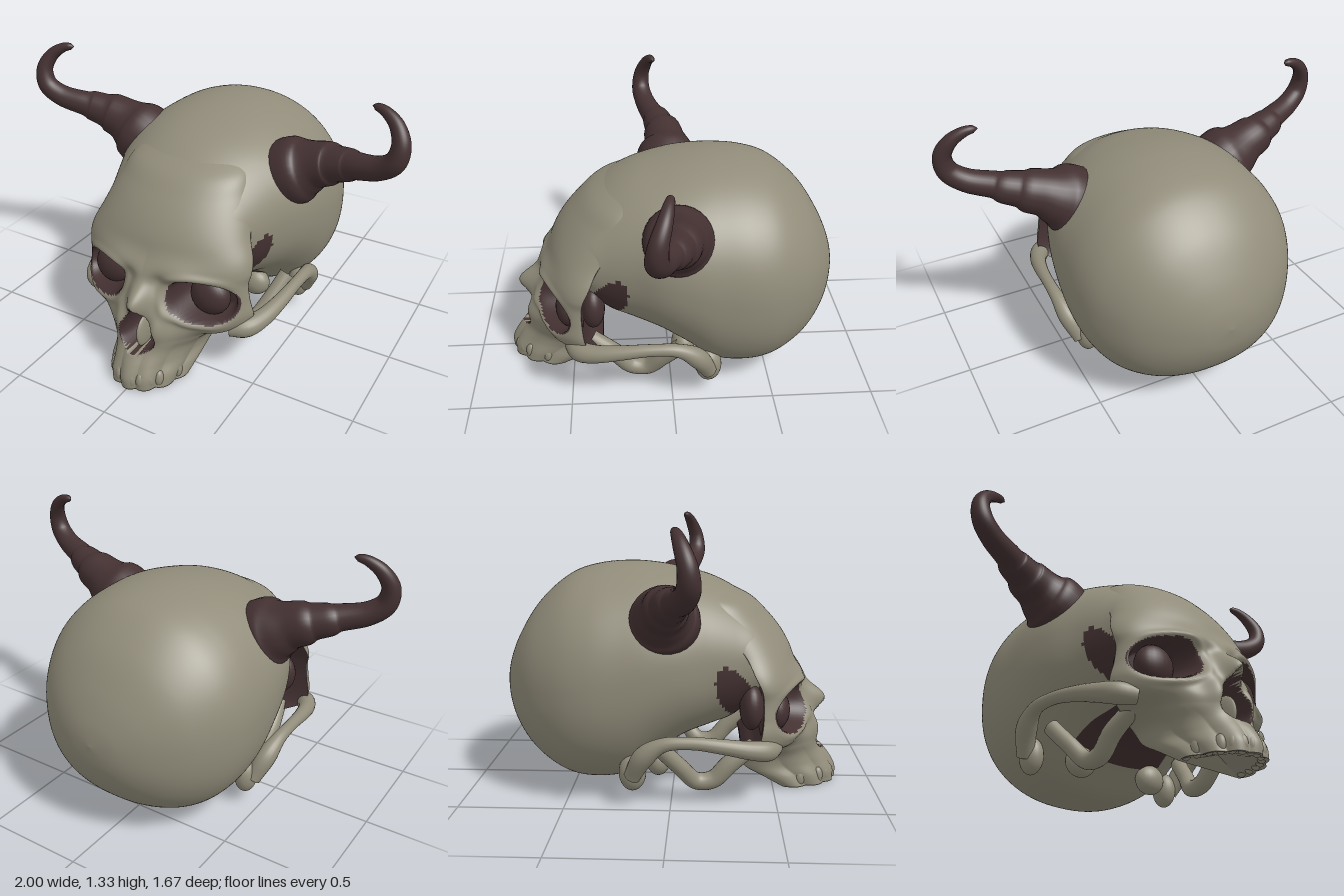
import * as THREE from 'three';
import { mergeVertices } from 'three/addons/utils/BufferGeometryUtils.js';

const bone = new THREE.MeshStandardMaterial({ color: 0x918c7a });
bone.name = 'bone';
const dark = new THREE.MeshStandardMaterial({ color: 0x443132 });
dark.name = 'dark horn';

const gauss = (d, s) => Math.exp(-(d * d) / (s * s));
// 1 below lo, falling smoothly to 0 above hi
const fade = (v, lo, hi) => 1 - THREE.MathUtils.smoothstep(v, lo, hi);

// Catmull-Rom through rows of numbers, t from 0 to 1
function sample(rows, t) {
  const last = rows.length - 1;
  const k = Math.min(Math.floor(t * last), last - 1);
  const f = t * last - k;
  const at = n => rows[THREE.MathUtils.clamp(n, 0, last)];
  return rows[0].map((_, c) => {
    const [a, b, d, e] = [at(k - 1)[c], at(k)[c], at(k + 1)[c], at(k + 2)[c]];
    const m = (d - a) / 2, n = (e - b) / 2;
    return b + m * f + (3 * (d - b) - 2 * m - n) * f * f + (2 * (b - d) + m + n) * f * f * f;
  });
}

// Skin of rings; quads for which isDark holds use the second material
function loft(name, rows, cols, point, isDark) {
  const pos = [], light = [], shade = [];
  for (let i = 0; i <= rows; i++) for (let j = 0; j < cols; j++) pos.push(...point(i, j));
  for (let i = 0; i < rows; i++) {
    for (let j = 0; j < cols; j++) {
      const a = i * cols + j, b = i * cols + (j + 1) % cols;
      const list = isDark(i + 0.5, j + 0.5) ? shade : light;
      list.push(a, b, a + cols, b, b + cols, a + cols);
    }
  }
  const g = new THREE.BufferGeometry();
  g.setAttribute('position', new THREE.Float32BufferAttribute(pos, 3));
  g.setIndex(light.concat(shade));
  g.addGroup(0, light.length, 0);
  g.addGroup(light.length, shade.length, 1);
  g.computeVertexNormals();
  const mesh = new THREE.Mesh(g, [bone, dark]);
  mesh.name = name;
  return mesh;
}

// Tube with a radius per path point: rows of x, y, z, radius
function taperTube(name, rows, side, material, segs = 48, sides = 20) {
  const curve = new THREE.CatmullRomCurve3(rows.map(r => new THREE.Vector3(r[0] * side, r[1], r[2])));
  let g = new THREE.TubeGeometry(curve, segs, 1, sides);
  const p = g.attributes.position, v = new THREE.Vector3();
  for (let i = 0; i <= segs; i++) {
    const c = curve.getPointAt(i / segs);
    const r = Math.max(sample(rows, curve.getUtoTmapping(i / segs))[3], 0.001);
    for (let j = 0; j <= sides; j++) {
      const n = i * (sides + 1) + j;
      v.fromBufferAttribute(p, n).sub(c).multiplyScalar(r).add(c);
      p.setXYZ(n, v.x, v.y, v.z);
    }
  }
  g.deleteAttribute('uv');
  g.deleteAttribute('normal');
  g = mergeVertices(g, 1e-5);
  g.computeVertexNormals();
  const mesh = new THREE.Mesh(g, material);
  mesh.name = name;
  return mesh;
}

function blob(name, at, size, material) {
  const mesh = new THREE.Mesh(new THREE.SphereGeometry(1, 24, 16), material);
  mesh.name = name;
  mesh.position.set(...at);
  mesh.scale.set(...size);
  return mesh;
}

// Braincase sections: z, top, bottom, half width
const CRANIUM = [
  [-0.84, 0.53, 0.53, 0], [-0.82, 0.64, 0.40, 0.14], [-0.76, 0.78, 0.27, 0.285], [-0.66, 0.93, 0.15, 0.415],
  [-0.52, 1.05, 0.06, 0.51], [-0.38, 1.10, 0.035, 0.55], [-0.22, 1.115, 0.06, 0.555], [-0.08, 1.105, 0.17, 0.545],
  [0.05, 1.08, 0.26, 0.515], [0.18, 1.045, 0.31, 0.455], [0.30, 0.985, 0.36, 0.405], [0.40, 0.905, 0.46, 0.36],
  [0.46, 0.82, 0.57, 0.29], [0.49, 0.76, 0.63, 0.18], [0.5, 0.7, 0.7, 0],
];

function cranium() {
  const rows = 130, cols = 150;
  const pow = (v, n) => Math.sign(v) * Math.abs(v) ** (2 / n);
  const point = (i, j) => {
    const [z, top, low, w] = sample(CRANIUM, i / rows);
    const a = j / cols * Math.PI * 2;
    const n = Math.sin(a) > 0 ? 2.1 : 2.3; // rounder above than below
    return [Math.max(w, 0) * pow(Math.cos(a), n), (top + low) / 2 + (top - low) / 2 * pow(Math.sin(a), n), z];
  };
  return loft('cranium', rows, cols, point, (i, j) => {
    const [, y, z] = point(i, j);
    const under = z > -0.06 && Math.sin(j / cols * Math.PI * 2) < -0.88;
    const temple = ((z - 0.31 - (0.5 - y) * 0.35) / 0.085) ** 2 + ((y - 0.51) / 0.155) ** 2 < 1;
    return under || temple;
  });
}

// Face sections: y, half width, back z, front z, roundness
const FACE = [
  [0.005, 0.185, 0.55, 0.815, 1], [0.06, 0.2, 0.46, 0.815, 1], [0.12, 0.215, 0.36, 0.79, 1],
  [0.18, 0.25, 0.34, 0.75, 1], [0.23, 0.33, 0.36, 0.72, 1.1], [0.28, 0.43, 0.40, 0.695, 1.2],
  [0.34, 0.455, 0.42, 0.665, 1.2], [0.42, 0.44, 0.43, 0.635, 1.1], [0.50, 0.43, 0.43, 0.615, 1],
  [0.56, 0.44, 0.42, 0.625, 1.1], [0.62, 0.43, 0.39, 0.605, 1], [0.70, 0.395, 0.35, 0.58, 1],
  [0.78, 0.37, 0.29, 0.535, 1], [0.86, 0.34, 0.24, 0.47, 1], [0.94, 0.30, 0.2, 0.385, 1], [1.0, 0.23, 0.1, 0.265, 1],
];
// Distance measures that are 1 on the rim of the opening
const socket = (x, y) => {
  const u = (Math.abs(x) - 0.268) / 0.15, v = (y - 0.44 + (Math.abs(x) - 0.268) * 0.14) / 0.103;
  return (Math.abs(u) ** 2.4 + Math.abs(v) ** 2.4) ** (1 / 2.4);
};
const nostril = (x, y) => {
  const s = (y - 0.165) / 0.255;
  return s <= 0 || s >= 1 ? 9 : Math.abs(x) / (0.098 * Math.sin(Math.PI * s ** 0.55) + 1e-4);
};

function face() {
  const rows = 140, front = 190, back = 16;
  const point = (i, j) => {
    if (i === 0) return [0, 0.06, 0.6]; // palate
    const [y, w, zb, zf, p] = sample(FACE, Math.max(i - 1, 0) / (rows - 1));
    if (j > front) return [w * (1 - 2 * (j - front) / back), y, zb];
    const t = (j / front - 0.5) * Math.PI;
    const c = Math.max(Math.cos(t), 0);
    let x = w * Math.sin(t), z = zb + (zf - zb) * c ** p;
    const ax = Math.abs(x), e = socket(x, y), n = nostril(x, y);
    z += 0.135 * gauss(x, 0.065) * gauss(y - 0.43, 0.095); // nasal bones
    z += 0.05 * gauss(ax - 0.1, 0.045) * gauss(y - 0.32, 0.09); // walls of the nose opening
    z += 0.025 * gauss(ax - 0.13, 0.13) * gauss(y - 0.585, 0.05); // brow ridge
    z += 0.018 * gauss(e - 1.15, 0.17) * c; // socket rim
    z -= 0.03 * gauss(ax - 0.26, 0.06) * gauss(y - 0.25, 0.05); // hollow under the cheek
    const root = fade(y, 0.04, 0.24) * Math.abs(Math.cos(t * 7)) * 0.016; // tooth roots
    x += Math.sin(t) * root;
    z += c * root;
    z = THREE.MathUtils.lerp(z, Math.min(z, 0.44), fade(e, 0.72, 1));
    z -= 0.13 * fade(n, 0.7, 1);
    return [x, y, z];
  };
  return loft('face', rows, front + back, point, (i, j) => {
    const [x, y] = point(i, j);
    if (j > front) return y > 0.1;
    return i > 1 && (socket(x, y) < 1.02 || nostril(x, y) < 1.02);
  });
}

const HORN = [
  [0.38, 0.85, -0.03, 0.168], [0.46, 0.9, -0.025, 0.16], [0.5, 0.92, -0.025, 0.135], [0.55, 0.945, -0.02, 0.112],
  [0.62, 0.97, -0.01, 0.102], [0.65, 0.98, 0, 0.086], [0.72, 1.0, 0.02, 0.076], [0.75, 1.01, 0.035, 0.064],
  [0.87, 1.045, 0.075, 0.055], [0.94, 1.1, 0.095, 0.05], [0.956, 1.18, 0.09, 0.042], [0.92, 1.255, 0.065, 0.033],
  [0.86, 1.298, 0.045, 0.024], [0.815, 1.308, 0.035, 0.016], [0.798, 1.308, 0.032, 0],
];
const ARCH = [
  [0.36, 0.27, 0.49, 0.04], [0.43, 0.275, 0.45, 0.05], [0.475, 0.29, 0.37, 0.044], [0.505, 0.315, 0.25, 0.036],
  [0.52, 0.335, 0.1, 0.03], [0.52, 0.325, -0.03, 0.034], [0.5, 0.26, -0.12, 0.05], [0.46, 0.15, -0.18, 0.04],
];
const HOOK = [
  [0.3, 0.26, 0.4, 0.04], [0.32, 0.17, 0.28, 0.045], [0.32, 0.09, 0.2, 0.044], [0.33, 0.085, 0.12, 0.042],
  [0.37, 0.17, 0.04, 0.04], [0.41, 0.27, -0.05, 0.04],
];

export function createModel() {
  const model = new THREE.Group();
  model.name = 'hornedSkull';
  model.add(cranium(), face());
  model.add(blob('nasalSeptum', [0, 0.23, 0.65], [0.02, 0.085, 0.07], bone));

  for (const side of [1, -1]) {
    const s = side > 0 ? 'left' : 'right';
    model.add(
      taperTube(s + 'Horn', HORN, side, dark, 96, 28),
      taperTube(s + 'CheekArch', ARCH, side, bone),
      taperTube(s + 'JawHook', HOOK, side, bone),
      blob(s + 'Eyeball', [side * 0.268, 0.43, 0.495], [0.1, 0.098, 0.07], dark),
      blob(s + 'SocketBack', [side * 0.31, 0.45, 0.38], [0.08, 0.11, 0.058], dark),
      blob(s + 'EarBone', [side * 0.425, 0.16, -0.18], [0.055, 0.09, 0.065], bone),
      blob(s + 'BaseBone', [side * 0.22, 0.15, -0.07], [0.08, 0.075, 0.06], bone),
    );
  }

  // Upper teeth along the jaw arch
  const teeth = new THREE.Group();
  teeth.name = 'upperTeeth';
  for (let k = 0; k < 14; k++) {
    const a = (k + 0.5) / 14 * Math.PI;
    const z = 0.55 + 0.25 * Math.sin(a);
    teeth.add(blob('tooth', [0.172 * Math.cos(a), 0.045, z], [0.024, 0.045, 0.028], bone));
  }
  model.add(teeth);
  return model;
}
